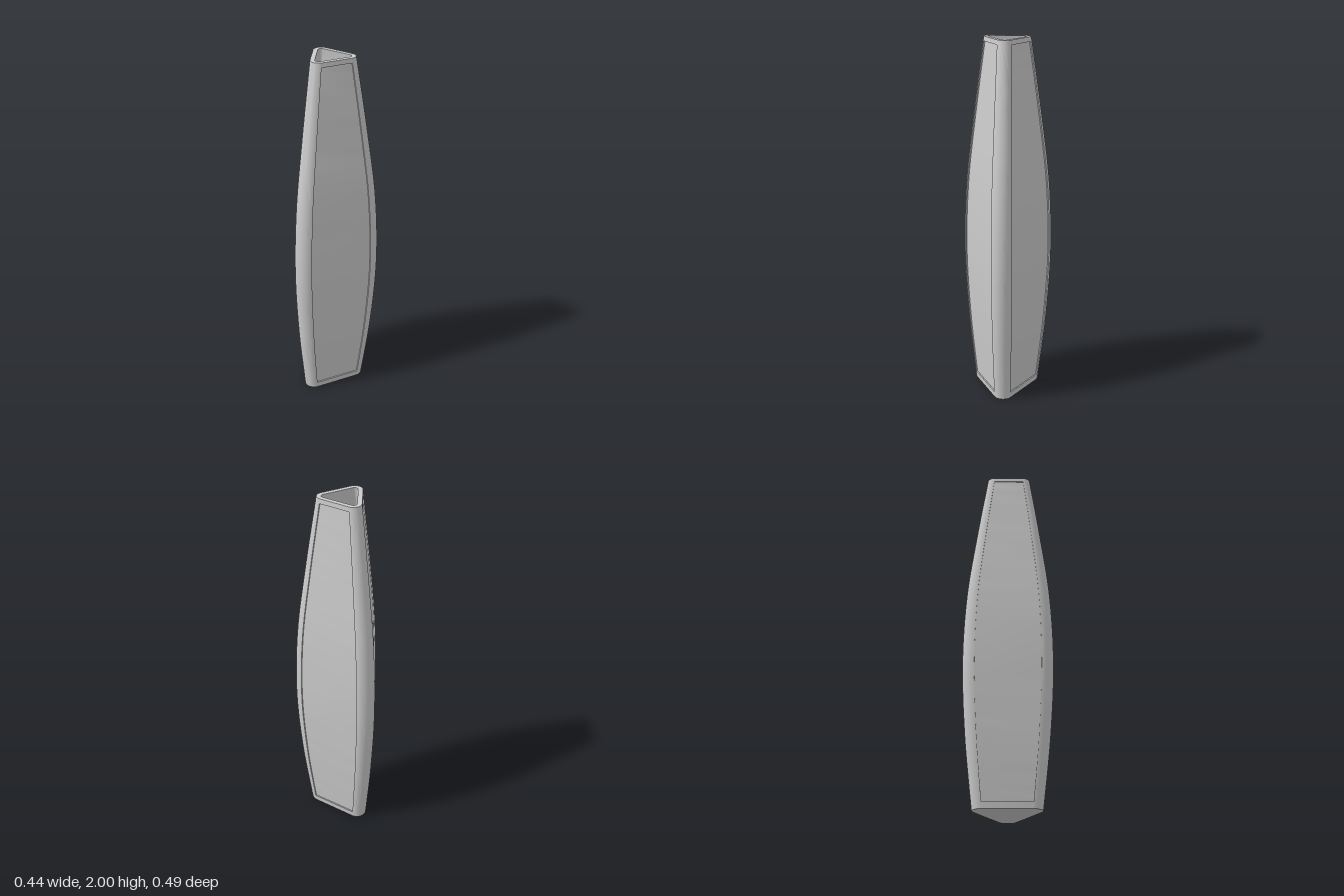
import * as THREE from 'three';
import { toCreasedNormals } from 'three/addons/utils/BufferGeometryUtils.js';

const CENTRE_X = 0.05;
const RECESS = 0.007;
const WALL = 0.024;
const ARC = 12;

// distance of the corner centres from the axis, by height, between the panel ends
const swell = new THREE.SplineCurve([
  [0.035, 0.152], [0.4, 0.188], [0.8, 0.207], [1.2, 0.193], [1.6, 0.148], [1.975, 0.0985],
].map(([y, d]) => new THREE.Vector2(y, d))).getPoints(40);

const cornerRadius = (d) => 0.022 + 0.21 * d;

// Rounded triangle; each side carries a strip pushed inwards by recess
function ring(y, d, r, recess = 0) {
  const pts = [];
  const put = (k, a, radius) => {
    const c = THREE.MathUtils.degToRad(60 + 120 * k);
    pts.push(new THREE.Vector3(
      CENTRE_X + d * Math.cos(c) + radius * Math.cos(a), y,
      d * Math.sin(c) + radius * Math.sin(a)));
  };
  for (let k = 0; k < 3; k++) {
    const start = THREE.MathUtils.degToRad(120 * k);
    const end = start + Math.PI * 2 / 3;
    put(k, start, r - recess);
    for (let i = 0; i <= ARC; i++) put(k, start + (end - start) * i / ARC, r);
    put(k, end, r - recess);
  }
  return pts;
}

// Skin between successive rings, leaving out collapsed triangles
function loft(rings) {
  const pos = [];
  const tri = (a, b, c) => {
    if (new THREE.Triangle(a, b, c).getArea() < 1e-9) return;
    for (const p of [a, b, c]) pos.push(p.x, p.y, p.z);
  };
  for (let i = 0; i < rings.length - 1; i++) {
    const lo = rings[i], hi = rings[i + 1], n = lo.length;
    for (let j = 0; j < n; j++) {
      const k = (j + 1) % n;
      tri(lo[j], hi[j], hi[k]);
      tri(lo[j], hi[k], lo[k]);
    }
  }
  const geo = new THREE.BufferGeometry();
  geo.setAttribute('position', new THREE.Float32BufferAttribute(pos, 3));
  return toCreasedNormals(geo, Math.PI / 7);
}

export function createModel() {
  const group = new THREE.Group();
  group.name = 'triangularVase';
  const material = new THREE.MeshStandardMaterial({ color: 0xcccccc });
  const add = (name, rings) => {
    const mesh = new THREE.Mesh(loft(rings), material);
    mesh.name = name;
    group.add(mesh);
  };
  const outer = (y, d, recess) => ring(y, d, cornerRadius(d), recess);
  const inner = (y, d) => ring(y, d, cornerRadius(d) - WALL);
  const first = swell[0], last = swell[swell.length - 1];

  // base, bulging sides with recessed panels
  add('outerBody', [
    ring(0, 0, 0), outer(0, 0.148, 0),
    outer(first.x, first.y, 0),
    ...swell.map((p) => outer(p.x, p.y, RECESS)),
    outer(last.x, last.y, 0),
    outer(2, 0.095, 0),
  ]);

  // flat rim around the mouth
  add('rim', [outer(2, 0.095, 0), inner(2, 0.095)]);

  // hollow inside with its floor
  add('cavity', [
    inner(2, 0.095),
    ...swell.map((p) => inner(p.x, p.y)).reverse(),
    ring(first.x, 0, 0),
  ]);
  return group;
}
